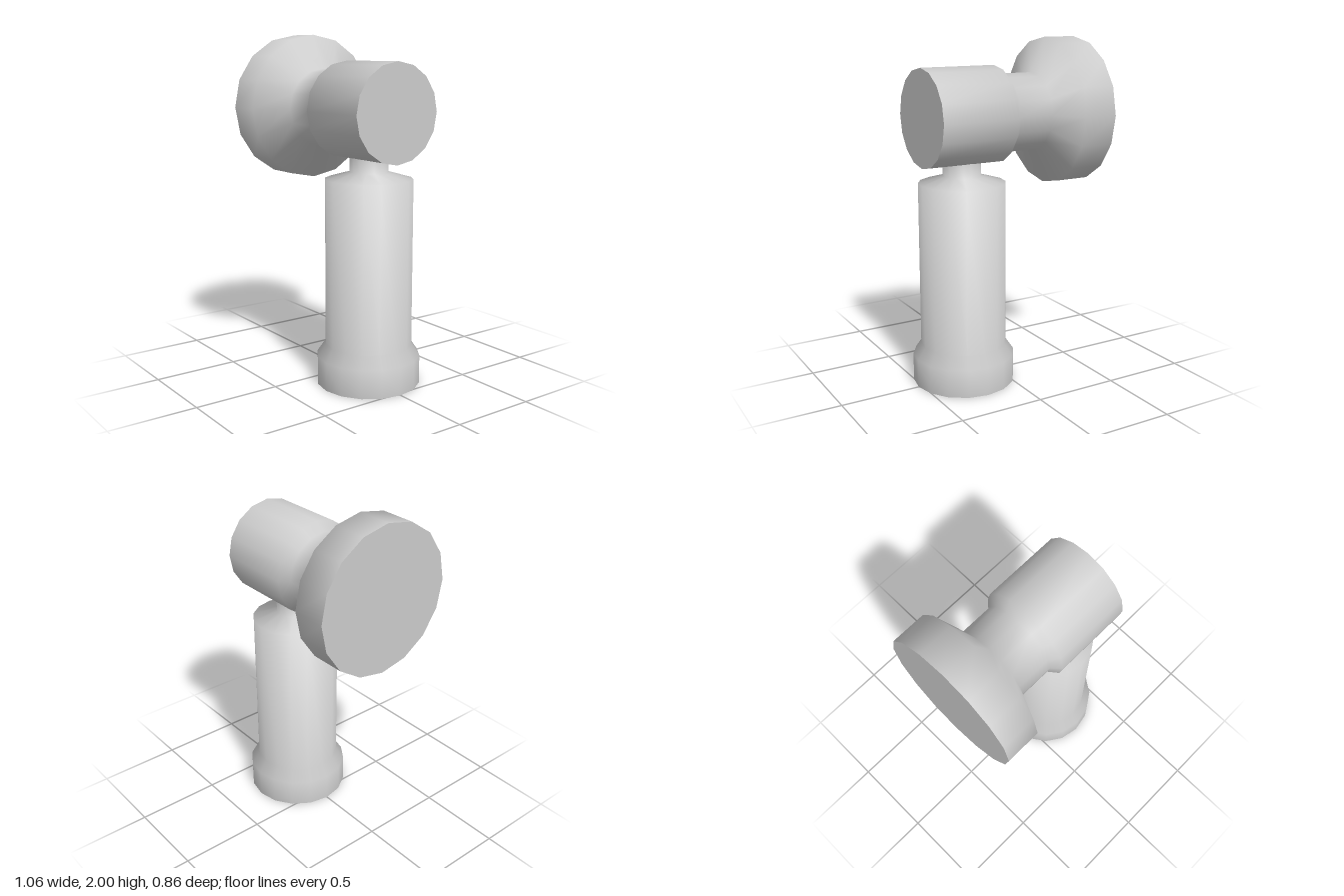
import * as THREE from 'three';
import { toCreasedNormals } from 'three/addons/utils/BufferGeometryUtils.js';

const SIDES = 16;

// Closed solid of revolution from [radius, height] pairs, smooth except at the flat ends
function turned(name, profile) {
  const points = profile.map(([r, h]) => new THREE.Vector2(r, h));
  const geometry = toCreasedNormals(new THREE.LatheGeometry(points, SIDES), 1.4);
  const mesh = new THREE.Mesh(geometry, new THREE.MeshStandardMaterial({ color: 0xcccccc }));
  mesh.name = name;
  return mesh;
}

export function createModel() {
  const model = new THREE.Group();
  model.name = 'swivelHeadLamp';

  // Upright handle: flared foot, barrel, sloped shoulder and a narrow neck entering the head
  const handle = turned('handle', [
    [0, 0], [0.3, 0], [0.3, 0.165], [0.252, 0.235],
    [0.252, 1.195], [0.11, 1.235], [0.11, 1.36], [0, 1.36],
  ]);
  handle.position.x = 0.225;
  model.add(handle);

  // Horizontal head: wide flared end at -x, waist, then a thicker rear cylinder
  const head = turned('head', [
    [0, -0.53], [0.428, -0.53], [0.428, -0.325], [0.228, -0.235],
    [0.228, -0.03], [0.278, 0.015], [0.278, 0.475], [0, 0.475],
  ]);
  head.rotation.z = -Math.PI / 2;
  head.position.y = 1.572;
  model.add(head);

  return model;
}
